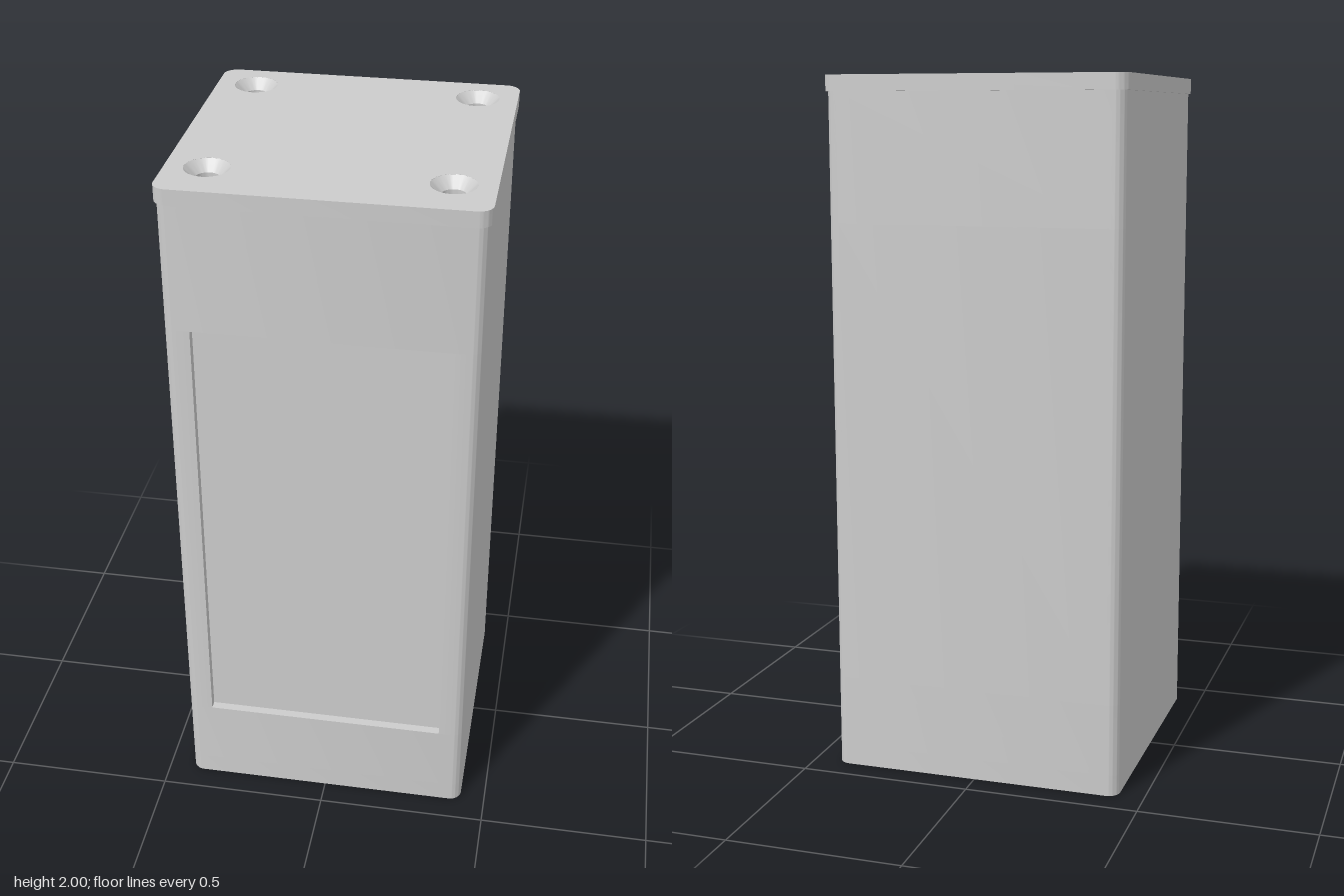
import * as THREE from 'three';
import { toCreasedNormals } from 'three/addons/utils/BufferGeometryUtils.js';

const HALF = 0.426, LID_HALF = 0.433, LID_Y = 1.955, TOP = 2;
const RECESS = { half: 0.352, bottom: 0.267, top: 1.593, depth: 0.025 };

// Rounded square in plan (shape y is -z), with an optional notch in the front edge
function plan(h, r, notch) {
  const s = new THREE.Shape();
  s.moveTo(-h + r, -h);
  if (notch) {
    const w = notch.half, y = -h + notch.depth;
    s.lineTo(-w, -h); s.lineTo(-w, y); s.lineTo(w, y); s.lineTo(w, -h);
  }
  s.lineTo(h - r, -h);
  s.absarc(h - r, -h + r, r, -Math.PI / 2, 0);
  s.lineTo(h, h - r);
  s.absarc(h - r, h - r, r, 0, Math.PI / 2);
  s.lineTo(-h + r, h);
  s.absarc(-h + r, h - r, r, Math.PI / 2, Math.PI);
  s.lineTo(-h, -h + r);
  s.absarc(-h + r, -h + r, r, Math.PI, Math.PI * 1.5);
  return s;
}

// Rectangular opening centred on (0, z)
function opening(halfX, halfZ, z) {
  return new THREE.Path([
    new THREE.Vector2(-halfX, -z - halfZ), new THREE.Vector2(-halfX, -z + halfZ),
    new THREE.Vector2(halfX, -z + halfZ), new THREE.Vector2(halfX, -z - halfZ),
  ]);
}

function slab(shape, y0, y1) {
  const g = new THREE.ExtrudeGeometry(shape, { depth: y1 - y0, bevelEnabled: false, curveSegments: 10 });
  g.rotateX(-Math.PI / 2).translate(0, y0, 0);
  return toCreasedNormals(g, 0.6);
}

export function createModel() {
  const group = new THREE.Group();
  const grey = new THREE.MeshStandardMaterial({ color: 0xcccccc });
  grey.name = 'casingGrey';
  const add = (name, geometry) => {
    const m = new THREE.Mesh(geometry, grey);
    m.name = name;
    group.add(m);
    return m;
  };

  // Floor with the cable slot
  const floor = plan(HALF, 0.035);
  floor.holes.push(opening(0.13, 0.05, 0.01));
  add('floor', slab(floor, 0, 0.06));

  // Hollow walls; the middle section carries the shallow front recess
  const walls = [
    ['lowerWalls', 0.06, RECESS.bottom, null],
    ['recessedWalls', RECESS.bottom, RECESS.top, RECESS],
    ['upperWalls', RECESS.top, LID_Y, null],
  ];
  for (const [name, y0, y1, notch] of walls) {
    const s = plan(HALF, 0.035, notch);
    s.holes.push(opening(0.385, 0.37, -0.015));
    add(name, slab(s, y0, y1));
  }

  // Lid with four countersunk screw holes over solid posts
  const lid = plan(LID_HALF, 0.04);
  const screws = [];
  for (const x of [-0.32, 0.32]) for (const z of [-0.32, 0.28]) screws.push([x, z]);
  for (const [x, z] of screws) {
    lid.holes.push(new THREE.Path().absarc(x, -z, 0.062, 0, Math.PI * 2, true));
  }
  add('lid', slab(lid, LID_Y, TOP));

  const sink = toCreasedNormals(new THREE.LatheGeometry([
    new THREE.Vector2(0.062, TOP), new THREE.Vector2(0.033, 1.971), new THREE.Vector2(0.033, LID_Y),
  ], 40), 0.6);
  const post = new THREE.CylinderGeometry(0.062, 0.062, 0.4, 32);
  for (const [x, z] of screws) {
    add('countersink', sink).position.set(x, 0, z);
    add('screwPost', post).position.set(x, LID_Y - 0.2, z);
  }
  return group;
}
